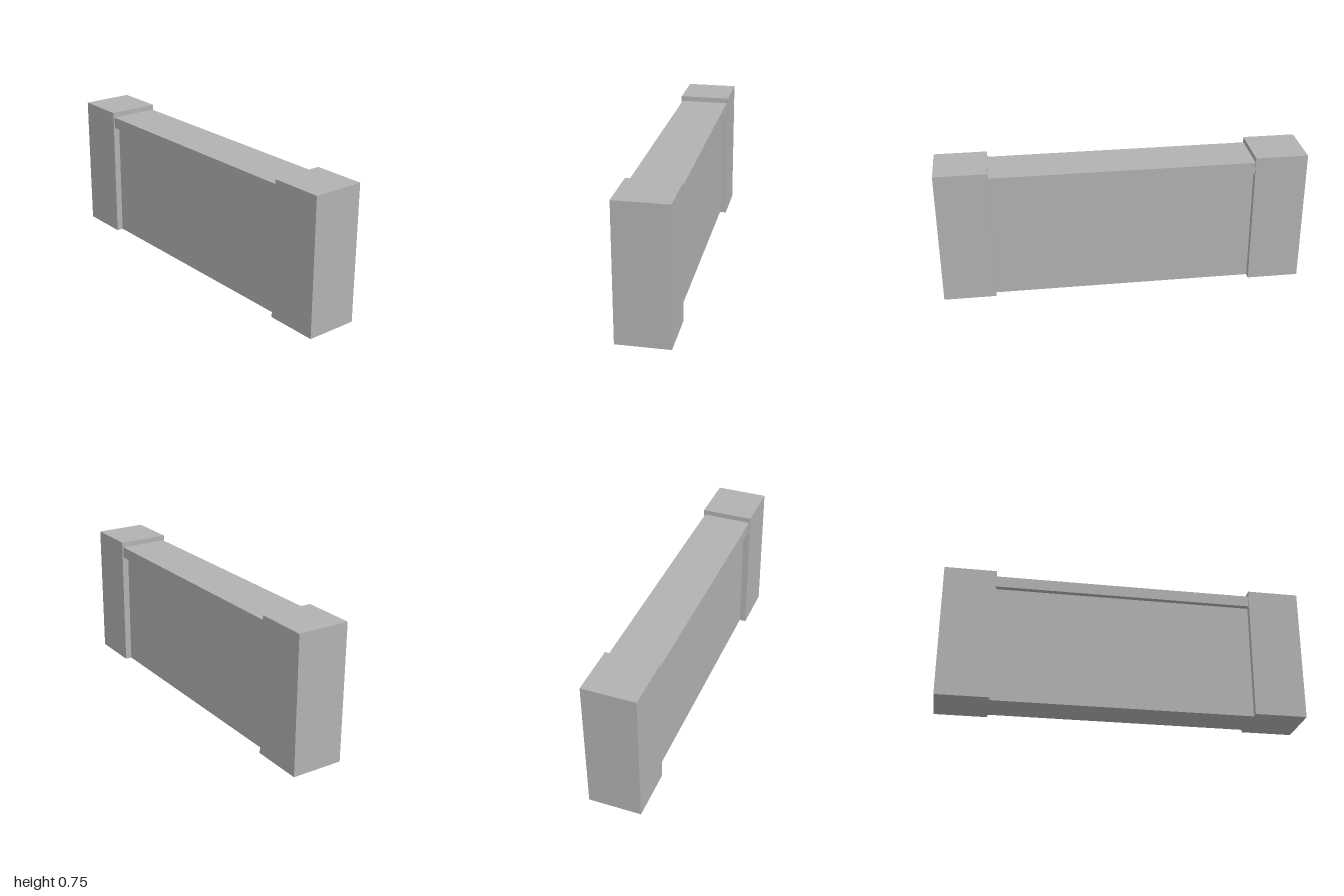
import * as THREE from 'three';

export function createModel() {
  const model = new THREE.Group();
  model.name = 'wall';
  const stone = new THREE.MeshStandardMaterial({ name: 'grey stone', color: 0xb2b2b2 });

  // Box spanning x0..x1 and y0..y1, centred on z
  const addBlock = (name, x0, x1, y0, y1, depth) => {
    const mesh = new THREE.Mesh(new THREE.BoxGeometry(x1 - x0, y1 - y0, depth), stone);
    mesh.position.set((x0 + x1) / 2, (y0 + y1) / 2, 0);
    mesh.name = name;
    model.add(mesh);
  };

  const inner = 0.714; // inner face of the end posts
  addBlock('leftPost', inner, 1, 0, 0.75, 0.286);
  addBlock('rightPost', -1, -inner, 0, 0.75, 0.286);

  // Recessed wall panel with an overhanging coping
  addBlock('panel', -inner, inner, 0, 0.658, 0.212);
  addBlock('coping', -inner, inner, 0.658, 0.721, 0.272);

  return model;
}
